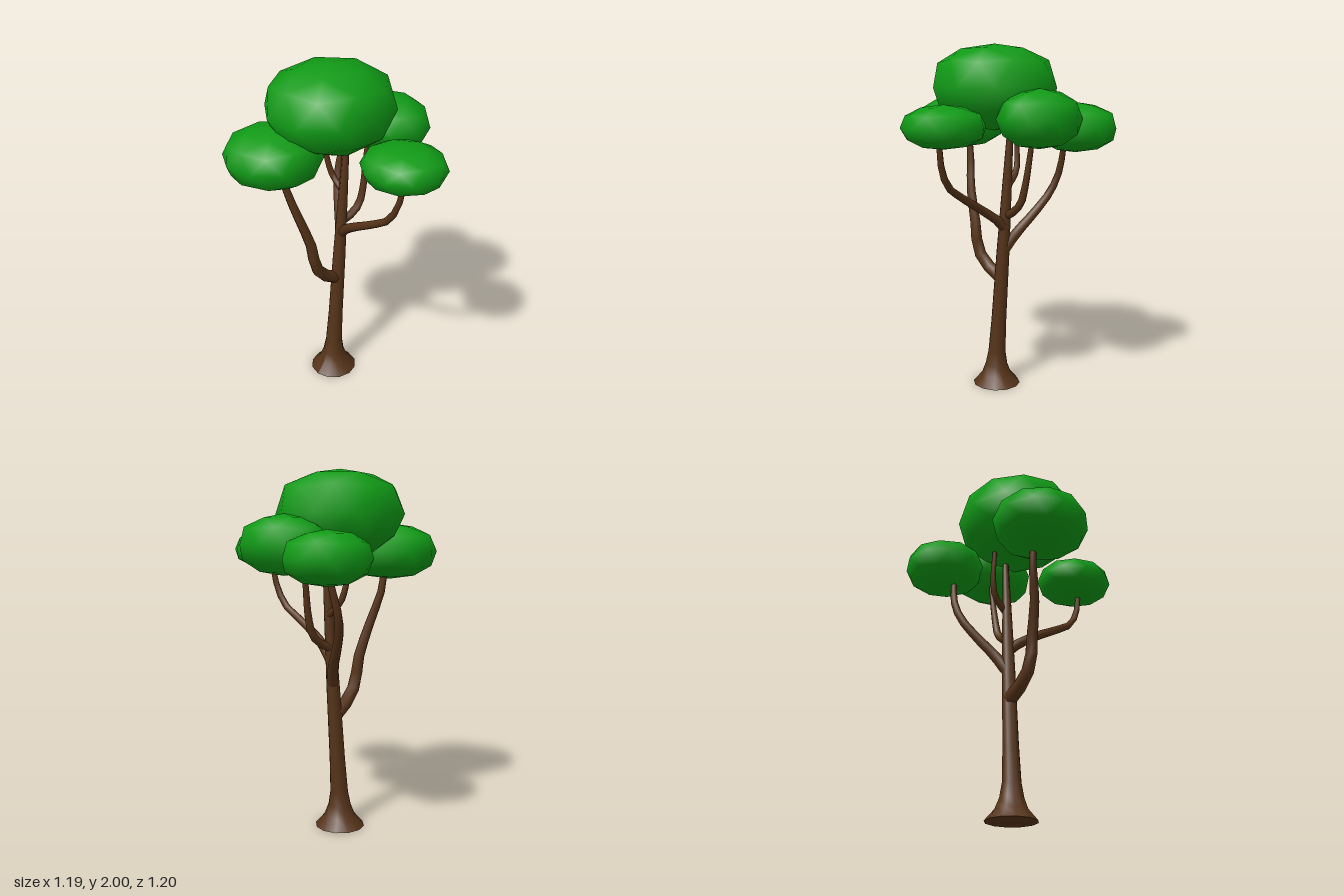
import * as THREE from 'three';

const bark = new THREE.MeshStandardMaterial({ color: 0x553318 });
const leaf = new THREE.MeshStandardMaterial({ color: 0x109a16 });

// Low-poly leaf clump: an icosphere with a vertex at the top, squared off vertically
function foliage(name, center, radii, turn, topPower, bottomPower) {
  const geo = new THREE.IcosahedronGeometry(1, 1);
  geo.rotateZ(-Math.atan(2 / (1 + Math.sqrt(5))));
  geo.rotateY(turn);
  const pos = geo.attributes.position;
  for (let i = 0; i < pos.count; i++) {
    const y = pos.getY(i);
    pos.setY(i, Math.sign(y) * Math.pow(Math.abs(y), y > 0 ? topPower : bottomPower));
  }
  geo.scale(...radii);
  const mesh = new THREE.Mesh(geo, leaf);
  mesh.name = name;
  mesh.position.set(...center);
  return mesh;
}

// Branch: a tube along a path, tapered from r0 to r1
function branch(name, points, r0, r1) {
  const curve = new THREE.CatmullRomCurve3(points.map((p) => new THREE.Vector3(...p)), false, 'centripetal');
  const steps = 10, sides = 8;
  const geo = new THREE.TubeGeometry(curve, steps, 1, sides, false);
  const pos = geo.attributes.position;
  const v = new THREE.Vector3();
  for (let i = 0; i <= steps; i++) {
    const c = curve.getPointAt(i / steps);
    const r = THREE.MathUtils.lerp(r0, r1, i / steps);
    for (let j = 0; j <= sides; j++) {
      const k = i * (sides + 1) + j;
      v.fromBufferAttribute(pos, k).sub(c).multiplyScalar(r).add(c);
      pos.setXYZ(k, v.x, v.y, v.z);
    }
  }
  const mesh = new THREE.Mesh(geo, bark);
  mesh.name = name;
  return mesh;
}

// Trunk: a flared lathe that leans backwards with height
function trunk() {
  const group = new THREE.Group();
  group.name = 'trunk';
  const profile = [
    [0.14, 0], [0.088, 0.06], [0.065, 0.12], [0.051, 0.2], [0.044, 0.4], [0.041, 0.6],
    [0.038, 0.8], [0.033, 1.0], [0.028, 1.2], [0.022, 1.4], [0.016, 1.6],
  ].map(([r, y]) => new THREE.Vector2(r, y));
  const geo = new THREE.LatheGeometry(profile, 12);
  const pos = geo.attributes.position;
  for (let i = 0; i < pos.count; i++) {
    const y = pos.getY(i);
    pos.setX(i, pos.getX(i) - 0.143 + 0.014 * y);
    pos.setZ(i, pos.getZ(i) + 0.01 - 0.075 * Math.max(0, y - 0.15));
  }
  geo.computeVertexNormals();
  const stem = new THREE.Mesh(geo, bark);
  stem.name = 'stem';
  // Closed underside
  const base = new THREE.Mesh(new THREE.CircleGeometry(0.14, 12).rotateX(Math.PI / 2), bark);
  base.name = 'trunkBase';
  base.position.set(-0.143, 0, 0.01);
  group.add(stem, base);
  return group;
}

export function createModel() {
  const tree = new THREE.Group();
  tree.name = 'tree';
  tree.add(trunk());

  // Branches, each ending inside a leaf clump
  tree.add(
    branch('frontBranch', [[-0.14, 0.66, -0.02], [-0.14, 0.74, 0.1], [-0.14, 0.83, 0.15],
      [-0.145, 0.95, 0.168], [-0.185, 1.18, 0.235], [-0.225, 1.32, 0.265], [-0.24, 1.52, 0.29]], 0.039, 0.017),
    branch('backRightBranch', [[-0.14, 0.84, -0.05], [-0.18, 0.93, -0.1], [-0.25, 1.03, -0.16],
      [-0.325, 1.15, -0.225], [-0.352, 1.25, -0.265], [-0.345, 1.37, -0.3], [-0.325, 1.5, -0.325]], 0.034, 0.015),
    branch('leftBranch', [[-0.13, 0.96, -0.055], [-0.08, 1.01, -0.04], [0.02, 1.08, -0.005],
      [0.18, 1.17, 0.015], [0.29, 1.24, 0.02], [0.345, 1.33, 0.018], [0.372, 1.43, 0.01], [0.375, 1.53, 0.008]], 0.03, 0.014),
    branch('backBranch', [[-0.13, 1.04, -0.07], [-0.11, 1.07, -0.13], [-0.102, 1.12, -0.18],
      [-0.1, 1.22, -0.21], [-0.105, 1.38, -0.235], [-0.105, 1.52, -0.255]], 0.025, 0.013),
    branch('smallBranch', [[-0.13, 1.22, -0.08], [-0.18, 1.26, -0.08], [-0.215, 1.3, -0.075],
      [-0.24, 1.4, -0.06], [-0.25, 1.6, -0.035]], 0.02, 0.012),
  );

  // Leaf clumps
  tree.add(
    foliage('crownFoliage', [-0.125, 1.76, 0.02], [0.345, 0.24, 0.364], Math.PI / 2, 0.72, 0.95),
    foliage('frontFoliage', [-0.232, 1.557, 0.338], [0.268, 0.157, 0.265], 0.4, 0.85, 0.85),
    foliage('leftFoliage', [0.36, 1.565, -0.008], [0.232, 0.115, 0.22], 0.25, 0.85, 0.85),
    foliage('backRightFoliage', [-0.37, 1.54, -0.37], [0.228, 0.14, 0.237], 0.15, 0.85, 0.85),
    foliage('backFoliage', [-0.043, 1.6, -0.335], [0.262, 0.16, 0.218], 0.1, 0.85, 0.85),
  );
  return tree;
}
